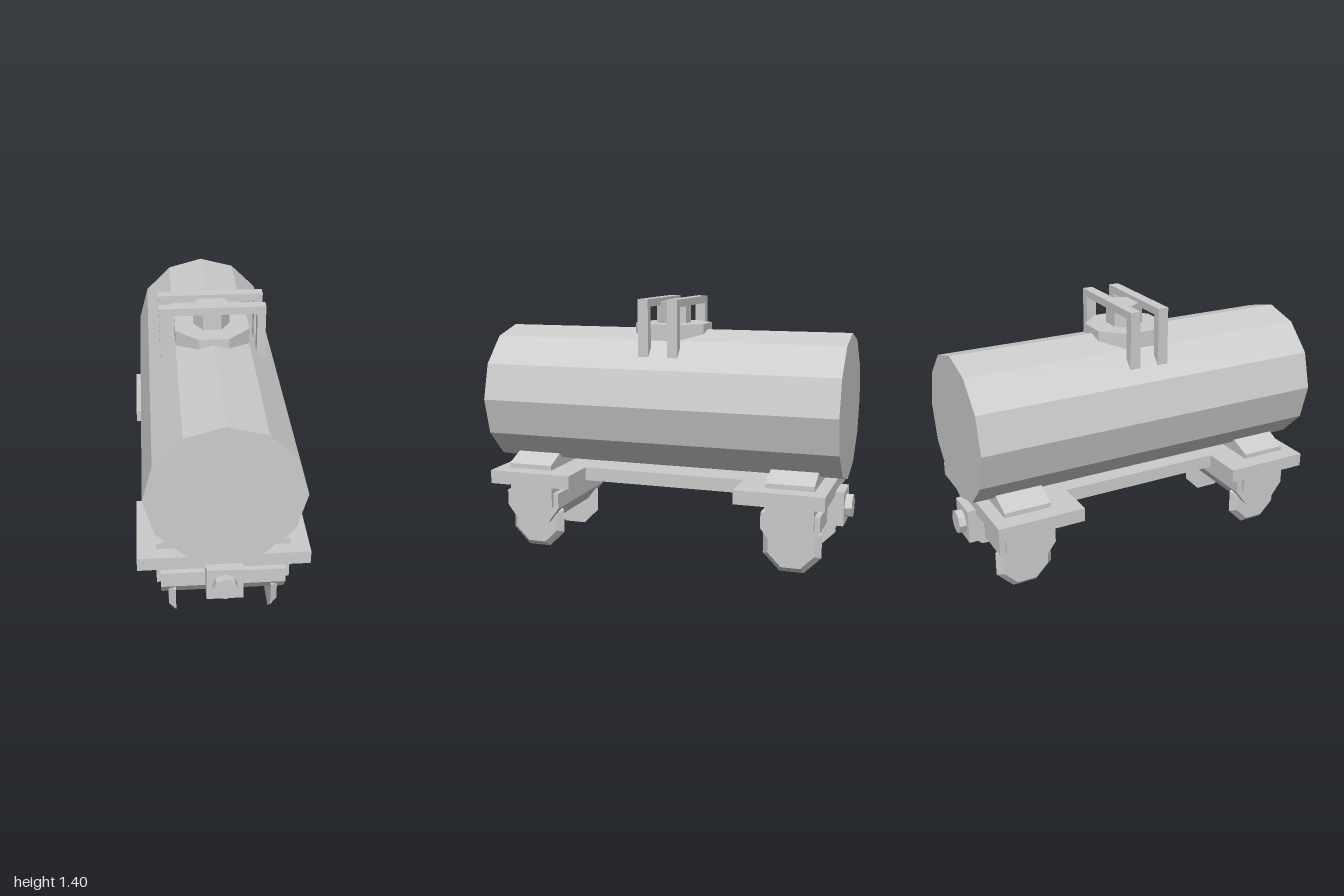
import * as THREE from 'three';

export function createModel() {
  const model = new THREE.Group();
  const mat = new THREE.MeshStandardMaterial({ color: 0xcccccc, flatShading: true });

  const add = (name, geo, x = 0, y = 0, z = 0, parent = model) => {
    const m = new THREE.Mesh(geo, mat);
    m.name = name;
    m.position.set(x, y, z);
    parent.add(m);
    return m;
  };
  const box = (x, y, z) => new THREE.BoxGeometry(x, y, z);
  // Outline extruded along z, centred on z = 0
  const prism = (pts, depth) => {
    const shape = new THREE.Shape(pts.map(([x, y]) => new THREE.Vector2(x, y)));
    return new THREE.ExtrudeGeometry(shape, { depth, bevelEnabled: false }).translate(0, 0, -depth / 2);
  };

  // Twelve-sided tank lying along z
  add('tank', new THREE.CylinderGeometry(0.385, 0.385, 1.932, 12).rotateX(Math.PI / 2), 0, 0.847, 0);

  // Filler hatch: octagonal collar and hexagonal cap
  const collarR = 0.192 / Math.cos(Math.PI / 8);
  add('hatchCollar', new THREE.CylinderGeometry(collarR, collarR, 0.165, 8).rotateY(Math.PI / 8), 0, 1.182, 0);
  add('hatchCap', new THREE.CylinderGeometry(0.095, 0.095, 0.13, 6).rotateY(Math.PI / 6), 0, 1.315, 0);

  // Two square arches over the hatch
  const arch = prism([
    [-0.273, 1.1], [-0.229, 1.1], [-0.229, 1.36], [0.229, 1.36],
    [0.229, 1.1], [0.273, 1.1], [0.273, 1.4], [-0.273, 1.4],
  ], 0.056);
  for (const z of [-0.08, 0.08]) add('hatchArch', arch, 0, 0, z);

  // Chassis plate: wide at both ends, narrow in the middle
  const a = 0.425, b = 0.2, e = 0.917, s = 0.452;
  const plate = prism([
    [-a, -e], [a, -e], [a, -s], [b, -s], [b, s], [a, s],
    [a, e], [-a, e], [-a, s], [-b, s], [-b, -s], [-a, -s],
  ], 0.073).rotateX(-Math.PI / 2);
  add('chassisPlate', plate, 0, 0.428, 0);

  // Shared end parts
  const saddle = prism([
    [-0.332, 0.46], [0.332, 0.46], [0.332, 0.49], [0.205, 0.541], [-0.205, 0.541], [-0.332, 0.49],
  ], 0.25);
  const axleBeam = prism([
    [-0.154, 0.33], [-0.154, 0.245], [-0.09, 0.16], [0.09, 0.16], [0.154, 0.245], [0.154, 0.33],
  ], 0.624).rotateY(Math.PI / 2);
  const k = 1 / Math.cos(Math.PI / 8);
  const wheel = new THREE.CylinderGeometry(0.122 * k, 0.154 * k, 0.036, 8)
    .rotateY(Math.PI / 8).rotateZ(-Math.PI / 2);

  // Each end: saddle, truck with bevelled wheels, and coupler
  for (const side of [1, -1]) {
    const end = new THREE.Group();
    end.name = side > 0 ? 'frontTruck' : 'rearTruck';
    if (side < 0) end.rotation.y = Math.PI;
    model.add(end);
    const z = 0.724;
    add('tankSaddle', saddle, 0, 0, z, end);
    add('truckBlock', box(0.664, 0.15, 0.25), 0, 0.329, z, end);
    add('axleBeam', axleBeam, 0, 0, z, end);
    for (const x of [1, -1]) {
      const w = add('wheel', wheel, x * 0.257, 0.157, z, end);
      if (x < 0) w.rotation.y = Math.PI;
    }
    add('couplerBlock', box(0.182, 0.182, 0.26), 0, 0.32, 0.833, end);
    add('couplerBolt', new THREE.CylinderGeometry(0.063, 0.063, 0.06, 8).rotateX(Math.PI / 2), 0, 0.32, 0.97, end);
  }
  return model;
}
